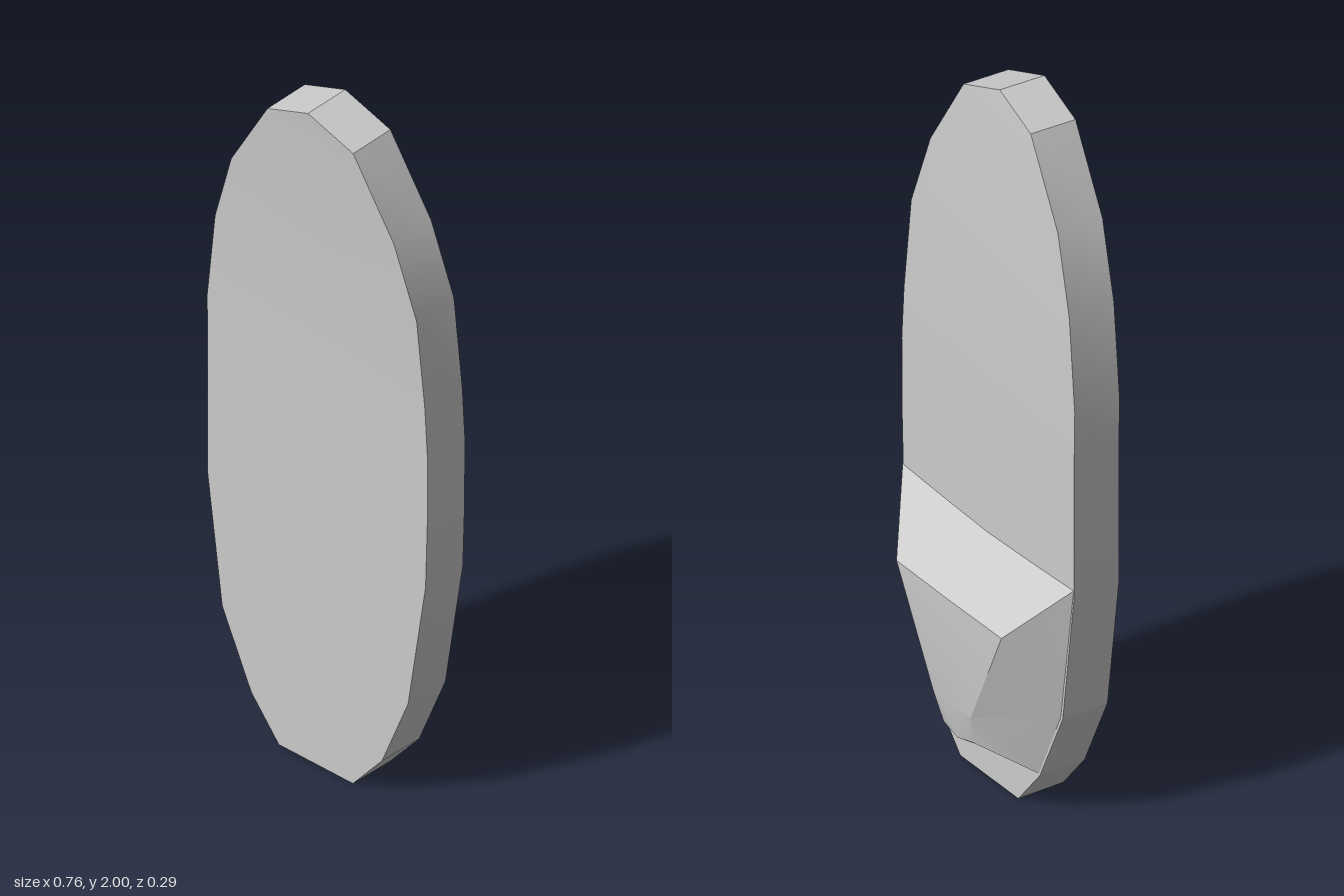
import * as THREE from 'three';
import { toCreasedNormals } from 'three/addons/utils/BufferGeometryUtils.js';

const material = new THREE.MeshStandardMaterial({ color: 0xcccccc });

// Skins a grid of points: rows run downward, columns run toward +x on the back
function skin(name, rows, crease) {
  const positions = [];
  const triangle = (...corners) => {
    const [a, b, c] = corners.map((p) => new THREE.Vector3(...p));
    if (new THREE.Triangle(a, b, c).getArea() < 1e-7) return;
    for (const v of [a, b, c]) positions.push(v.x, v.y, v.z);
  };
  for (let r = 0; r < rows.length - 1; r++) {
    for (let c = 0; c < rows[r].length - 1; c++) {
      const [a, b] = [rows[r][c], rows[r][c + 1]];
      const [d, e] = [rows[r + 1][c], rows[r + 1][c + 1]];
      triangle(a, b, d);
      triangle(b, e, d);
    }
  }
  const geometry = new THREE.BufferGeometry();
  geometry.setAttribute('position', new THREE.Float32BufferAttribute(positions, 3));
  const mesh = new THREE.Mesh(toCreasedNormals(geometry, crease), material);
  mesh.name = name;
  return mesh;
}

// Oval slab, bending toward the front near the top
function createSlab() {
  // height, -x edge, +x edge, front z
  const profile = [
    [1.995, 0, 0, 0.147],
    [1.94, -0.145, 0.15, 0.141],
    [1.72, -0.28, 0.28, 0.13],
    [1.51, -0.347, 0.347, 0.118],
    [1.25, -0.38, 0.37, 0.112],
    [1.1, -0.38, 0.377, 0.11],
    [0.9, -0.38, 0.376, 0.11],
    [0.71, -0.38, 0.37, 0.11],
    [0.33, -0.33, 0.31, 0.11],
    [0.115, -0.23, 0.22, 0.11],
    [0, -0.135, 0.12, 0.11],
  ];
  const depth = 0.137;
  const rows = profile.map(([y, left, right, z]) => {
    const backY = y > 1.5 ? y + 0.005 : y;
    const backLeft = [left, backY, z - depth];
    return [backLeft, [right, backY, z - depth], [right, y, z], [left, y, z], backLeft];
  });
  // bottom cap
  const [backLeft, backRight] = rows[rows.length - 1];
  rows.push([backLeft, backRight, backRight, backLeft, backLeft]);
  return skin('ovalSlab', rows, 0.25);
}

// Faceted block on the lower back, tapering downward
function createBackBlock() {
  const base = -0.027;
  const row = (edge, shoulder, middle) => [
    [-edge[0] - 0.005, edge[1], edge[2]],
    [-shoulder[0] - 0.005, shoulder[1], shoulder[2]],
    middle,
    shoulder,
    edge,
  ];
  return skin('backBlock', [
    row([0.373, 0.73, base], [0.2, 0.722, base], [0, 0.715, base]),
    row([0.373, 0.73, base], [0.228, 0.56, -0.147], [0, 0.555, -0.144]),
    row([0.316, 0.33, base], [0.08, 0.25, -0.138], [0, 0.25, -0.138]),
    row([0.22, 0.118, base], [0.06, 0.163, -0.12], [0, 0.145, -0.12]),
    row([0.22, 0.118, base], [0.1, 0.108, base], [0, 0.1, base]),
  ], 0.5);
}

export function createModel() {
  const group = new THREE.Group();
  group.name = 'ovalPanel';
  group.add(createSlab(), createBackBlock());
  return group;
}
